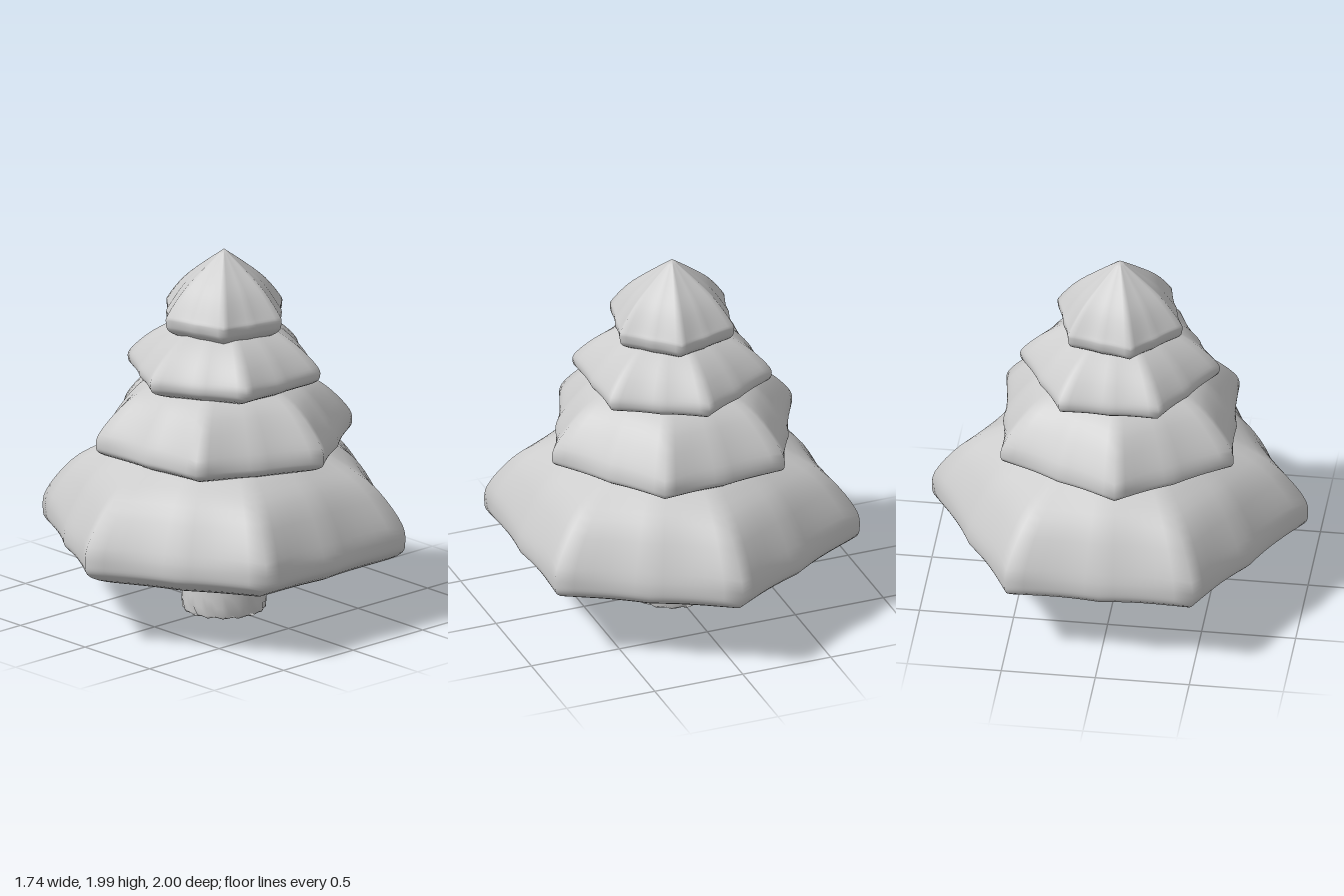
import * as THREE from 'three';
import { mergeVertices } from 'three/addons/utils/BufferGeometryUtils.js';

const SEGMENTS = 72;
const SIXTH = Math.PI / 3;

// Weld the seam of a lathe and smooth it
function smooth(geometry) {
  geometry.deleteAttribute('uv');
  geometry.deleteAttribute('normal');
  const welded = mergeVertices(geometry, 1e-5);
  welded.computeVertexNormals();
  return welded;
}

// Six-pointed outline with gently hollow sides; 1 at each corner
function hexFactor(angle) {
  const a = ((angle % SIXTH) + SIXTH) % SIXTH;
  const t = Math.abs(a - SIXTH / 2);
  const hollow = 0.018 * Math.sin(Math.PI * t / (SIXTH / 2));
  return Math.cos(SIXTH / 2) / Math.cos(t) - hollow;
}

// profile rows: [corner radius, height, how hexagonal (0 = round)]
function foliage(profile, turn) {
  const curve = new THREE.CatmullRomCurve3(profile.map(p => new THREE.Vector3(...p)));
  const rows = curve.getPoints((profile.length - 1) * 4);
  const geometry = new THREE.LatheGeometry(
    rows.map(p => new THREE.Vector2(Math.max(p.x, 0), p.y)), SEGMENTS);
  const pos = geometry.attributes.position;
  for (let i = 0; i < pos.count; i++) {
    const row = rows[i % rows.length];
    const angle = Math.floor(i / rows.length) / SEGMENTS * Math.PI * 2;
    const s = 1 + (hexFactor(angle) - 1) * row.z;
    pos.setX(i, pos.getX(i) * s);
    pos.setZ(i, pos.getZ(i) * s);
  }
  geometry.rotateY(turn);
  return smooth(geometry);
}

// Short trunk with a ragged, notched foot
function trunk() {
  const rows = [[0, 0.01], [0.215, 0.01], [0.222, 0.015], [0.224, 0.06],
    [0.22, 0.13], [0.215, 0.2], [0.215, 0.32]];
  const geometry = new THREE.LatheGeometry(rows.map(p => new THREE.Vector2(...p)), 48);
  const pos = geometry.attributes.position;
  for (let i = 0; i < pos.count; i++) {
    const row = i % rows.length;
    const column = Math.floor(i / rows.length) % 48;
    const notch = column % 4 === 0;
    if (row === 2 && notch) {
      pos.setX(i, pos.getX(i) * 0.9);
      pos.setZ(i, pos.getZ(i) * 0.9);
    }
    if (row === 1) pos.setY(i, 0.002 + 0.008 * (column % 3) / 2);
    if (row === 4) pos.setY(i, 0.12 + 0.02 * Math.sin(column * 1.3));
  }
  return smooth(geometry);
}

export function createModel() {
  const model = new THREE.Group();
  const material = new THREE.MeshStandardMaterial({ color: 0xcccccc, side: THREE.DoubleSide });
  const add = (name, geometry) => {
    const mesh = new THREE.Mesh(geometry, material);
    mesh.name = name;
    model.add(mesh);
  };

  add('trunk', trunk());

  // Foliage tiers, from the underside over the rim to the top
  add('bottomFoliage', foliage([
    [0, 0.235, 0], [0.22, 0.24, 0.2], [0.55, 0.275, 0.6], [0.8, 0.315, 0.8], [0.985, 0.4, 0.95],
    [1, 0.46, 1], [0.985, 0.55, 1.1], [0.85, 0.73, 0.95], [0.63, 0.87, 0.5], [0.5, 0.93, 0.3], [0.25, 1.02, 0.2],
  ], 0));
  add('lowerFoliage', foliage([
    [0, 0.84, 0.2], [0.3, 0.84, 0.4], [0.52, 0.865, 0.7], [0.69, 0.925, 0.9],
    [0.71, 0.965, 1], [0.695, 1.03, 1.1], [0.58, 1.16, 1], [0.4, 1.27, 0.6], [0.2, 1.34, 0.4],
  ], THREE.MathUtils.degToRad(-25)));
  add('upperFoliage', foliage([
    [0, 1.225, 0.2], [0.25, 1.23, 0.4], [0.4, 1.255, 0.8], [0.515, 1.305, 0.95],
    [0.53, 1.335, 1], [0.52, 1.38, 1.1], [0.43, 1.47, 1], [0.27, 1.57, 0.7], [0.12, 1.62, 0.4],
  ], 0));
  add('topFoliage', foliage([
    [0, 1.54, 0.2], [0.18, 1.54, 0.5], [0.29, 1.557, 0.9], [0.345, 1.6, 1],
    [0.352, 1.635, 1], [0.338, 1.68, 1.15], [0.25, 1.79, 1.1], [0.12, 1.9, 1], [0, 1.99, 1],
  ], THREE.MathUtils.degToRad(-13.5)));

  return model;
}
